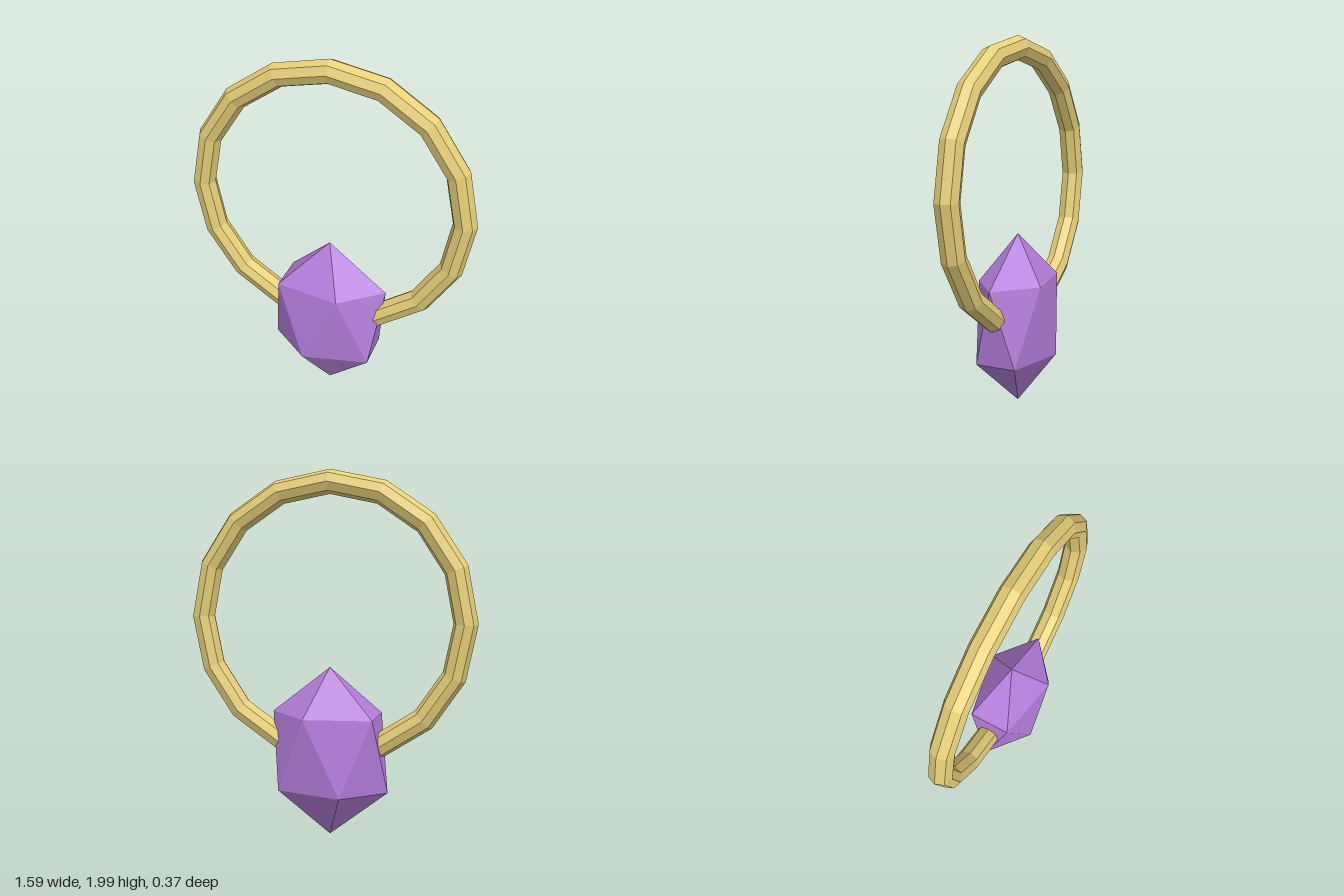
import * as THREE from 'three';
import { ConvexGeometry } from 'three/addons/geometries/ConvexGeometry.js';

export function createModel() {
  const model = new THREE.Group();
  const add = (name, geometry, color, y) => {
    const material = new THREE.MeshStandardMaterial({ color, flatShading: true });
    const mesh = new THREE.Mesh(geometry, material);
    mesh.name = name;
    mesh.position.y = y;
    model.add(mesh);
  };

  // Upright low-poly hoop, passing through the gem at the bottom
  add('ring', new THREE.TorusGeometry(0.73, 0.065, 8, 16), 0xe6cf78, 1.205);

  // Gem: a stretched icosahedron made of two poles and two staggered rings of five
  const halfHeight = 0.47, rx = 0.325, rz = 0.195;
  const points = [new THREE.Vector3(0, halfHeight, 0), new THREE.Vector3(0, -halfHeight, 0)];
  for (let i = 0; i < 5; i++) {
    const a = (i * Math.PI * 2) / 5;
    const upper = new THREE.Vector3(rx * Math.cos(a), halfHeight / Math.sqrt(5), rz * Math.sin(a));
    points.push(upper, upper.clone().negate());
  }
  add('gem', new ConvexGeometry(points), 0xb57edc, 0.477);

  return model;
}
